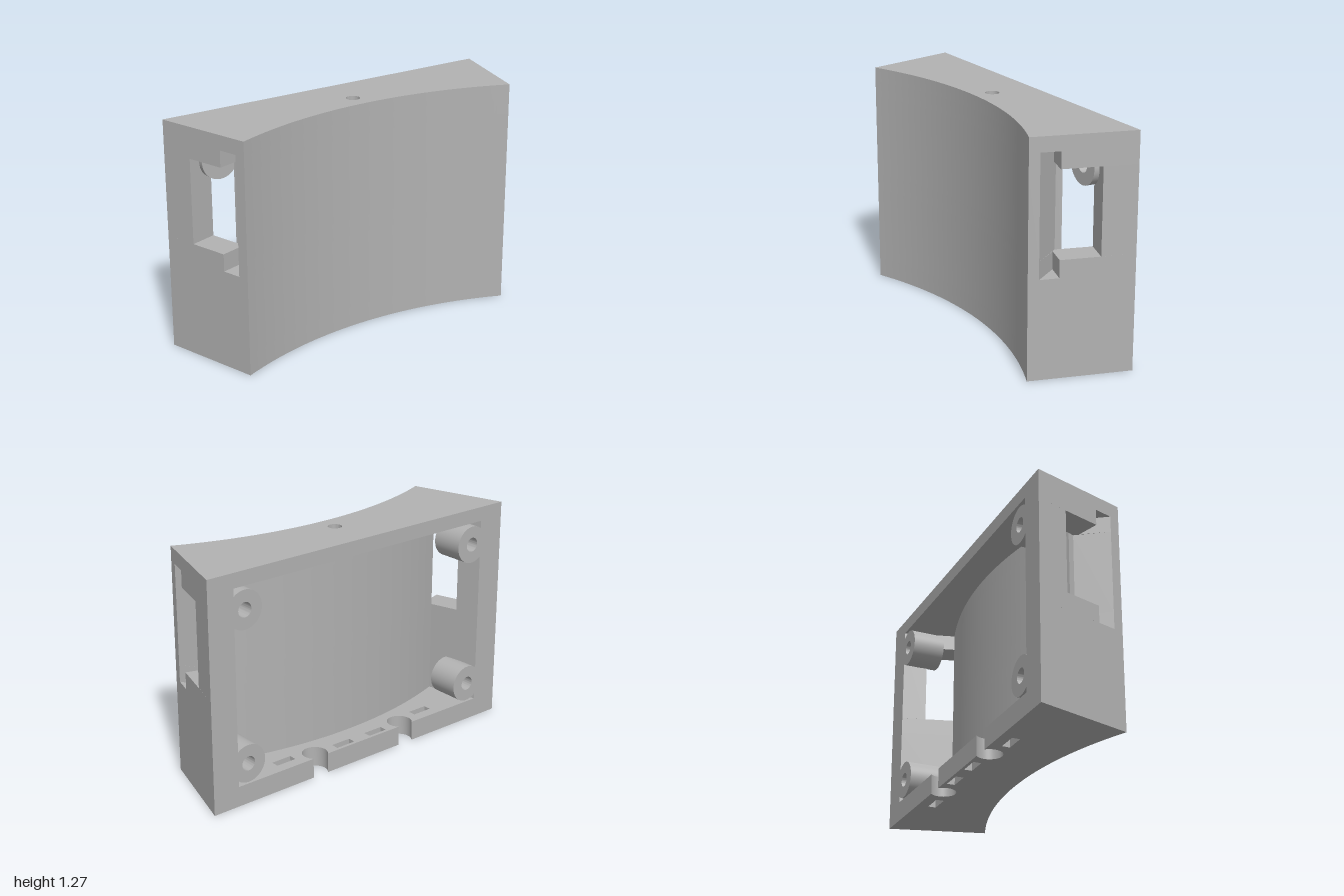
import * as THREE from 'three';
import { toCreasedNormals } from 'three/addons/utils/BufferGeometryUtils.js';

const grey = new THREE.MeshStandardMaterial({ color: 0xb2b2b2 });
grey.name = 'plain grey';

// Plan coordinates are [x, z]; the whole housing mirrors across z = 0.
const ARC_X = 2.217, OUTER_R = 2.127, INNER_R = 2.327;
const BACK = -0.27, CEILING = 1.19, FLOOR = 0.112, HEIGHT = 1.27;

// Curved wall from z0 to z1
function arc(radius, z0, z1, n = 48) {
  const pts = [];
  for (let i = 0; i <= n; i++) {
    const z = z0 + (z1 - z0) * i / n;
    pts.push([ARC_X - Math.sqrt(radius * radius - z * z), z]);
  }
  return pts;
}
const mirror = pts => pts.map(([x, z]) => [x, -z]).reverse();
const shapeOf = pts => new THREE.Shape(pts.map(([x, z]) => new THREE.Vector2(x, z)));

function circleHole(x, z, r) {
  const p = new THREE.Path();
  p.absarc(x, z, r, 0, Math.PI * 2, true);
  return p;
}

function createMesh(name, geometry) {
  const mesh = new THREE.Mesh(toCreasedNormals(geometry, 0.4), grey);
  mesh.name = name;
  return mesh;
}

// Slab with a given plan between two heights
function slab(name, shape, y0, y1) {
  const geo = new THREE.ExtrudeGeometry(shape, { depth: y1 - y0, bevelEnabled: false, curveSegments: 24 });
  geo.rotateX(-Math.PI / 2).translate(0, y0, 0);
  return createMesh(name, geo);
}

export function createModel() {
  const group = new THREE.Group();
  group.name = 'curvedHousing';

  const outer = arc(OUTER_R, -0.845, 0.845);
  const inner = arc(INNER_R, 0.76, -0.76);
  const wedge = [[0.21, 0.861], [0.074, 0.768], [0.11, 0.89]];

  // Open-backed wall ring, optionally notched in its slanted sides
  const wallShape = side => shapeOf([
    ...outer, ...side, [BACK, 1], [BACK, 0.845],
    ...inner, [BACK, -0.845], [BACK, -1], ...mirror(side),
  ]);

  // Floor with two round cable notches in its back edge
  const notch = z => {
    const pts = [], a0 = Math.PI - Math.acos(0.05 / 0.07);
    for (let i = 0; i <= 28; i++) {
      const a = a0 - 2 * a0 * i / 28;
      pts.push([BACK + 0.05 + 0.07 * Math.cos(a), z + 0.07 * Math.sin(a)]);
    }
    return pts;
  };
  const floor = shapeOf([...outer, [BACK, 1], ...notch(0.305), ...notch(-0.305), [BACK, -1]]);
  // Strap slots
  for (const [x, z] of [[-0.187, 0.49], [-0.23, 0.115], [-0.23, -0.115], [-0.187, -0.49]]) {
    floor.holes.push(new THREE.Path([[-1, -1], [-1, 1], [1, 1], [1, -1]]
      .map(([u, v]) => new THREE.Vector2(x + u * 0.022, z + v * 0.06))));
  }
  group.add(slab('floor', floor, 0, FLOOR));

  // Walls below and beside the stepped side windows
  group.add(slab('lowerWalls', wallShape([]), FLOOR, 0.54));
  group.add(slab('lowerRecessWalls', wallShape(wedge), 0.54, 0.635));

  // Window level: curved wall and two back posts
  const lip = [[0.21, 0.861], [0.05, 0.748]];
  group.add(slab('curvedWall', shapeOf([...outer, ...lip, ...inner, ...mirror(lip)]), 0.635, 1.1));
  const post = [[BACK, 1], [BACK, 0.845], [-0.14, 0.806], [-0.095, 0.949]];
  group.add(slab('rightPost', shapeOf(post), 0.635, 1.1));
  group.add(slab('leftPost', shapeOf(mirror(post)), 0.635, 1.1));

  // Upper walls and top plate with a blind pin hole
  const upper = wallShape(wedge);
  upper.holes.push(circleHole(-0.02, 0, 0.038));
  group.add(slab('upperRecessWalls', upper, 1.1, CEILING));
  const top = shapeOf([...outer, [BACK, 1], [BACK, -1]]);
  top.holes.push(circleHole(-0.02, 0, 0.038));
  group.add(slab('topPlate', top, CEILING, HEIGHT));

  // Screw bosses in the four corners
  for (const z of [-0.78, 0.78]) {
    for (const y of [0.226, 1.065]) {
      const ring = new THREE.Shape().absarc(0, 0, 0.105, 0, Math.PI * 2, false);
      ring.holes.push(circleHole(0, 0, 0.04));
      const geo = new THREE.ExtrudeGeometry(ring, { depth: 0.185, bevelEnabled: false, curveSegments: 32 });
      geo.rotateY(Math.PI / 2).translate(BACK, y, z);
      group.add(createMesh('screwBoss', geo));
    }
  }
  return group;
}
